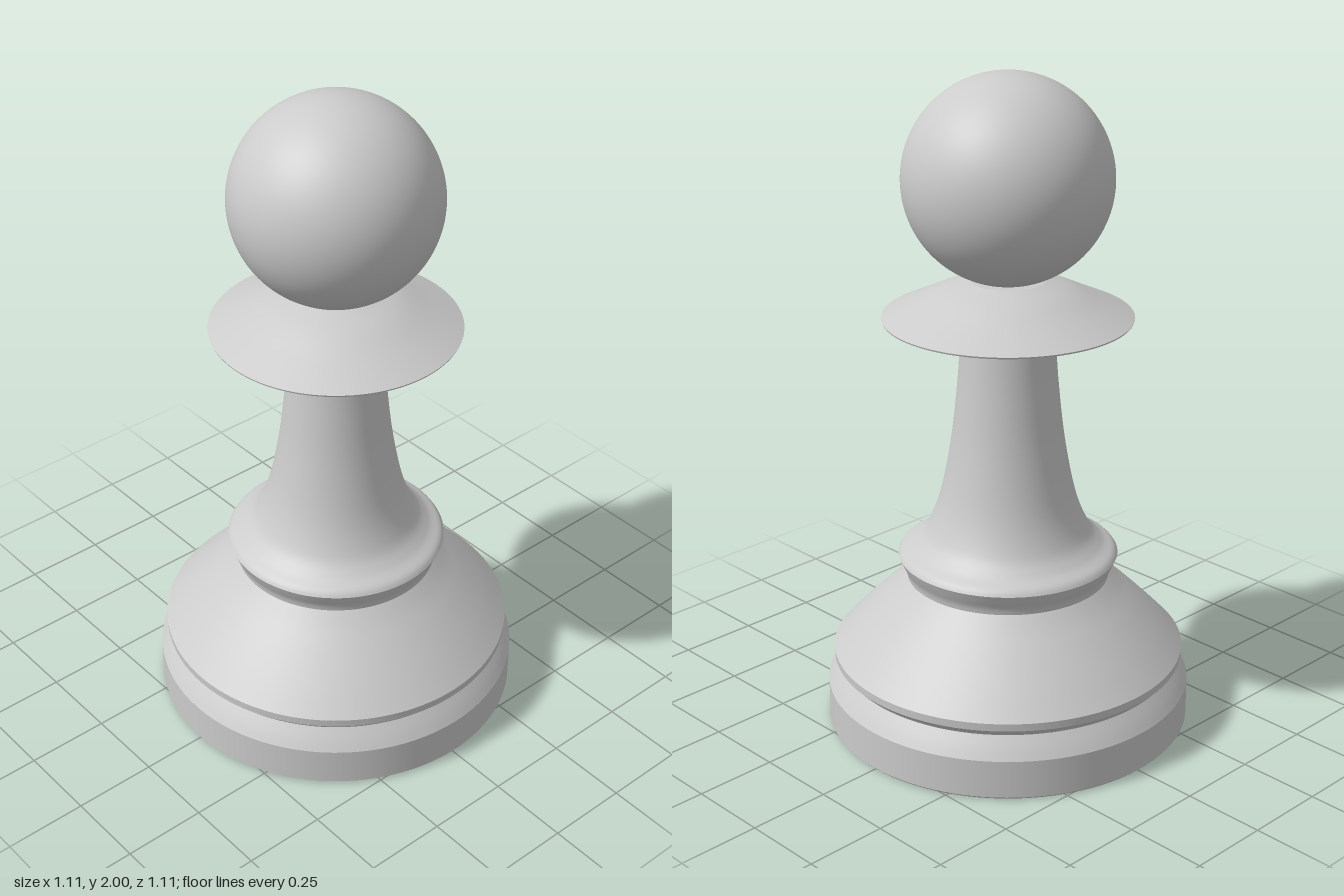
import * as THREE from 'three';

const material = new THREE.MeshStandardMaterial({ color: 0xcccccc });
const SIDES = 96;

// Smoothly curved profile through [radius, height] points
const curve = (pts, n = 24) =>
  new THREE.SplineCurve(pts.map(([r, y]) => new THREE.Vector2(r, y))).getPoints(n);

// Straight profile
const line = (...pts) => pts.map(([r, y]) => new THREE.Vector2(r, y));

// Each profile is smooth in itself; edges between profiles stay sharp
function turned(name, ...profiles) {
  const group = new THREE.Group();
  group.name = name;
  profiles.forEach((p, i) => {
    const mesh = new THREE.Mesh(new THREE.LatheGeometry(p, SIDES), material);
    mesh.name = `${name}Surface${i + 1}`;
    group.add(mesh);
  });
  return group;
}

export function createModel() {
  const model = new THREE.Group();
  model.name = 'pawn';

  // Flat foot with an upright wall and a bevelled shoulder
  model.add(turned('foot',
    line([0, 0], [0.548, 0]),
    line([0.548, 0], [0.555, 0.007]),
    line([0.555, 0.007], [0.555, 0.125]),
    curve([[0.555, 0.125], [0.536, 0.155], [0.512, 0.188]], 8)));

  // Sloping skirt above the groove
  model.add(turned('skirt',
    curve([[0.512, 0.188], [0.52, 0.2], [0.534, 0.212]], 8),
    line([0.534, 0.212], [0.535, 0.236]),
    curve([[0.535, 0.236], [0.47, 0.305], [0.4, 0.375], [0.345, 0.428], [0.307, 0.468]])));

  // Flared ring at the foot of the stem
  model.add(turned('ring',
    curve([[0.307, 0.468], [0.311, 0.488], [0.322, 0.512], [0.333, 0.537]], 10)));

  // Concave tapering stem
  model.add(turned('stem',
    curve([[0.333, 0.537], [0.32, 0.553], [0.282, 0.578], [0.243, 0.625], [0.203, 0.73],
      [0.17, 0.9], [0.15, 1.075], [0.14, 1.215]], 48)));

  // Thin collar with a domed top
  model.add(turned('collar',
    curve([[0.14, 1.215], [0.25, 1.247], [0.368, 1.281]], 12),
    line([0.368, 1.281], [0.37, 1.286]),
    curve([[0.37, 1.286], [0.28, 1.328], [0.19, 1.37], [0.11, 1.395]]),
    line([0.11, 1.395], [0, 1.398])));

  // Round head
  const head = new THREE.Mesh(new THREE.SphereGeometry(0.307, 96, 64), material);
  head.name = 'head';
  head.position.y = 1.693;
  model.add(head);

  return model;
}
